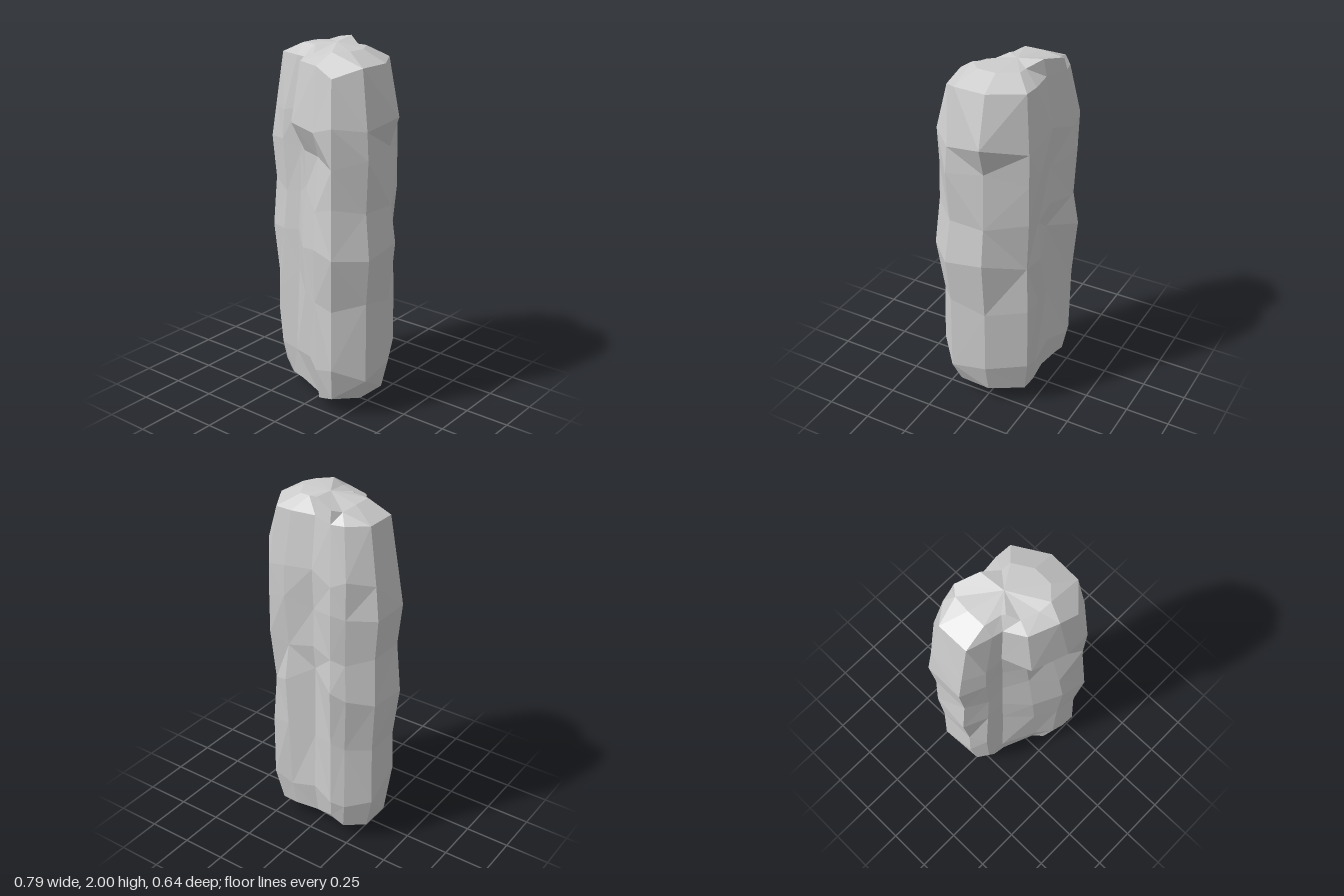
import * as THREE from 'three';

// Cross-section [x, z]: from the -x side round the front, +x side and back
const outline = [
  [-0.37, 0.03], [-0.26, 0.09], [-0.15, 0.09], [-0.08, 0.21], [0.10, 0.28], [0.23, 0.30], [0.36, 0.17],
  [0.37, -0.04], [0.25, -0.245], [0.14, -0.25], [-0.02, -0.23], [-0.17, -0.29], [-0.25, -0.27], [-0.37, -0.18],
];

// Stacked rings [height, scale]: underside, shaft, rim and cap
const rings = [
  [0.05, 0.55], [0.10, 0.86], [0.27, 0.97], [0.65, 0.98], [0.94, 1.03],
  [1.18, 0.98], [1.43, 1], [1.62, 1], [1.91, 0.85], [1.97, 0.5],
];

// Dents and bulges [ring, column, outward, up]
const chips = [
  [1, 1, 0, -0.04], [1, 2, 0.02, -0.05], [1, 3, -0.02, -0.05], [1, 4, -0.03, -0.05], [1, 11, 0.01, 0.06], // bottom edge
  [2, 0, 0, 0.12], [2, 1, 0.04, 0], [2, 2, 0.03, -0.05], [2, 6, 0.02, -0.03], [3, 1, 0.04, -0.1], [3, 2, 0.02, 0.1], // lower front
  [4, 0, 0.02, 0], [4, 5, 0.02, 0], [4, 6, 0.02, 0], [4, 8, -0.03, 0], [4, 10, -0.03, 0.1], [4, 11, 0.03, 0.09], // waist
  [5, 3, -0.04, 0.05], [6, 3, -0.05, 0], [6, 4, -0.07, 0], [7, 3, 0.03, 0], [7, 4, 0.01, -0.05], // recess and overhang
  [6, 0, 0.03, 0.02], [6, 13, 0.03, 0.02], [6, 7, -0.02, 0.07], [7, 7, 0.02, 0], // sides
  [8, 1, -0.04, 0], [8, 5, 0, -0.05], // rim
  [9, 1, -0.04, 0], [9, 3, 0, -0.03], [9, 4, 0, -0.025], [9, 10, 0.065, 0.03], [9, 11, 0.1, 0.005], [9, 12, 0.07, -0.01], // cap
];

function ringPoints([y, s], k) {
  const onShaft = k > 1 && k < 8;
  return outline.map(([x, z], i) => {
    // gentle unevenness along the shaft
    const wave = onShaft ? Math.sin(i * 2.4 + k * 4.1) : 0;
    const p = new THREE.Vector3(x * s, y + wave * 0.025, z * s);
    const outward = new THREE.Vector3(x, 0, z).normalize();
    p.addScaledVector(outward, wave * 0.008);
    // the front groove drifts towards +x lower down
    if (i === 3) p.x += 0.1 * Math.max(0, 1 - y / 1.6);
    for (const [ring, column, out, up] of chips) {
      if (ring === k && column === i) {
        p.addScaledVector(outward, out);
        p.y += up;
      }
    }
    return p;
  });
}

function buildRock() {
  const loops = rings.map(ringPoints);
  const bottom = new THREE.Vector3(0.1, 0, 0.05);
  const top = new THREE.Vector3(0, 1.985, -0.04);
  const n = outline.length;
  const pts = [];
  for (let i = 0; i < n; i++) {
    const j = (i + 1) % n;
    pts.push(bottom, loops[0][j], loops[0][i]);
    for (let k = 0; k < loops.length - 1; k++) {
      const a = loops[k][i], b = loops[k][j], c = loops[k + 1][j], d = loops[k + 1][i];
      // split each quad along its shorter diagonal
      if (a.distanceTo(c) < b.distanceTo(d)) pts.push(a, b, c, a, c, d);
      else pts.push(a, b, d, b, c, d);
    }
    pts.push(top, loops.at(-1)[i], loops.at(-1)[j]);
  }
  const geometry = new THREE.BufferGeometry().setFromPoints(pts);
  geometry.computeVertexNormals();
  return geometry;
}

export function createModel() {
  const group = new THREE.Group();
  group.name = 'standingStone';
  const material = new THREE.MeshStandardMaterial({ color: 0xcccccc, flatShading: true });
  const rock = new THREE.Mesh(buildRock(), material);
  rock.name = 'rockPillar';
  group.add(rock);
  return group;
}
